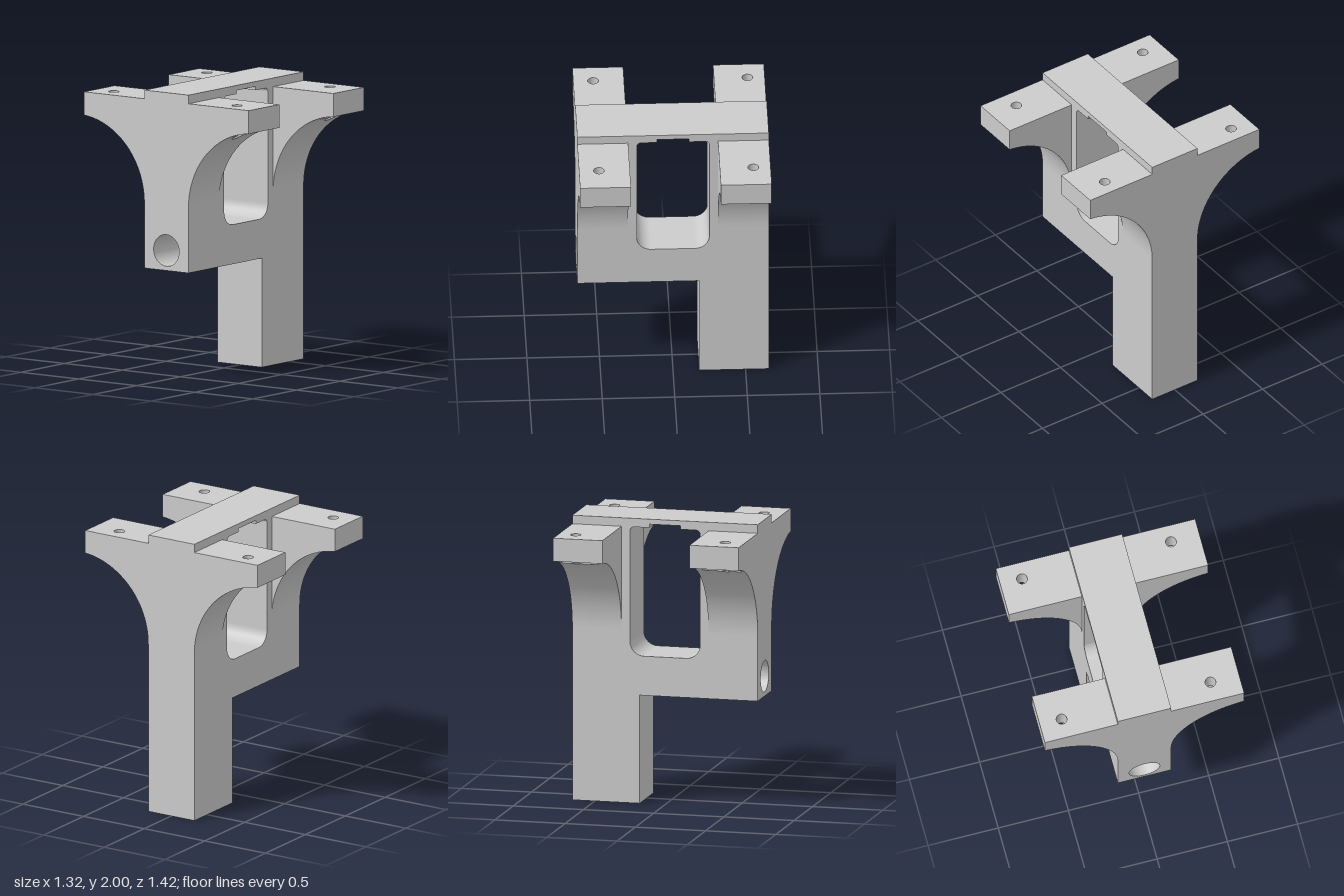
import * as THREE from 'three';

const grey = new THREE.MeshStandardMaterial({ color: 0xcccccc });
const greyShell = new THREE.MeshStandardMaterial({ color: 0xcccccc, side: THREE.DoubleSide });

const HALF = 0.66, DEPTH = 0.19;              // body half width, half thickness
const ARM_IN = 0.31, TIP = 0.71, ARM_TOP = 1.94;
const CZ = 0.76, CY = 1.21, CR = 0.57;        // arc under each arm
const SLOT_LOW = 1.735, SLOT_HIGH = 1.765, SLOT_R = 0.138, HOLE_R = 0.037;

const arcY = z => CY + Math.sqrt(Math.max(0, CR * CR - (CZ - z) ** 2));
const arcZ = y => CZ - Math.sqrt(CR * CR - (y - CY) ** 2);
const clamp = THREE.MathUtils.clamp;

function part(name, geometry, material = grey) {
  const mesh = new THREE.Mesh(geometry, material);
  mesh.name = name;
  return mesh;
}

function polygon(points) {
  return new THREE.Shape(points.map(p => new THREE.Vector2(p[0], p[1])));
}

function circlePath(x, y, r) {
  return new THREE.Path().absarc(x, y, r, 0, Math.PI * 2, true);
}

// Move every vertex of a geometry by a rule
function reshape(geometry, rule) {
  const pos = geometry.attributes.position, v = new THREE.Vector3();
  for (let i = 0; i < pos.count; i++) {
    rule(v.fromBufferAttribute(pos, i));
    pos.setXYZ(i, v.x, v.y, v.z);
  }
  geometry.computeVertexNormals();
  return geometry;
}

// Main plate with window and leg; the lower corner is left out for the bored block
function makeBody() {
  const shape = polygon([[0.18, 0], [HALF, 0], [HALF, 2], [-HALF, 2], [-HALF, 1.035],
    [-0.26, 1.035], [-0.26, 0.76], [0.18, 0.76]]);
  const w = 0.25, lo = 1.035, hi = 1.94, R = 0.1, r = 0.03, P = Math.PI;
  const win = new THREE.Path();
  win.moveTo(-w + R, lo);
  win.lineTo(w - R, lo);
  win.absarc(w - R, lo + R, R, -P / 2, 0, false);
  win.lineTo(w, hi - r);
  win.absarc(w - r, hi - r, r, 0, P / 2, false);
  for (const [x, y] of [[0.11, hi], [0.11, 1.965], [-0.11, 1.965], [-0.11, hi]]) win.lineTo(x, y);
  win.absarc(-w + r, hi - r, r, P / 2, P, false);
  win.lineTo(-w, lo + R);
  win.absarc(-w + R, lo + R, R, P, P * 1.5, false);
  shape.holes.push(win);
  const geo = new THREE.ExtrudeGeometry(shape, { depth: 2 * DEPTH, bevelEnabled: false, curveSegments: 16 });
  return part('bodyAndLeg', geo.translate(0, 0, -DEPTH));
}

// Lower corner block with a blind bore in its outer end
function makeBoredBlock() {
  const shape = polygon([[-DEPTH, 0.76], [DEPTH, 0.76], [DEPTH, 1.035], [-DEPTH, 1.035]]);
  shape.holes.push(circlePath(0, 0.9, 0.11));
  const geo = new THREE.ExtrudeGeometry(shape, { depth: 0.4, bevelEnabled: false, curveSegments: 32 });
  return part('boredBlock', geo.rotateY(Math.PI / 2).translate(-HALF, 0, 0));
}

// Arched underside with openings for the screw hole and the nut slot
function undersideGeometry(x0, x1, holeX, slotX, holeZ) {
  const z0 = arcZ(SLOT_LOW), z1 = arcZ(SLOT_HIGH), e = 1e-4;
  const rows = [z0 - e, z0 + e, z1 - e, z1 + e, holeZ - HOLE_R];
  const tEnd = Math.acos((CZ - TIP) / CR);
  for (let i = 0; i <= 80; i++) rows.push(CZ - CR * Math.cos(tEnd * i / 80));
  rows.sort((a, b) => a - b);
  const pos = [], index = [];
  rows.forEach((z, i) => {
    const inSlot = z > z0 && z < z1;
    const r = inSlot ? SLOT_R : z <= z0 ? HOLE_R : 0;
    const half = Math.sqrt(Math.max(0, r * r - (z - holeZ) ** 2));
    const c = inSlot ? slotX : holeX;
    for (const x of [x0, c - half, c + half, x1]) pos.push(x, arcY(z), z);
    if (i) for (const k of [0, 2]) {
      const a = 4 * (i - 1) + k, b = 4 * i + k;
      index.push(a, a + 1, b, a + 1, b + 1, b);
    }
  });
  const geo = new THREE.BufferGeometry();
  geo.setAttribute('position', new THREE.Float32BufferAttribute(pos, 3));
  geo.setIndex(index);
  geo.computeVertexNormals();
  return geo;
}

// Upright open tube whose lower rim follows a rule
function tube(x, z, r, top, rimRule) {
  const geo = new THREE.CylinderGeometry(r, r, 2, 40, 1, true).translate(x, 0, z);
  return reshape(geo, v => { v.y = v.y > 0 ? top : rimRule(v.z); });
}

// One bracket arm, built pointing to +z
function makeArm(name, x0, x1, holeX, slotX, holeZ) {
  const arm = new THREE.Group();
  arm.name = name;
  const add = (n, g) => arm.add(part(n, g, greyShell));

  const profile = [[DEPTH, ARM_TOP], [DEPTH, CY]];
  const tEnd = Math.acos((CZ - TIP) / CR);
  for (let i = 1; i <= 40; i++) {
    const t = tEnd * i / 40;
    profile.push([CZ - CR * Math.cos(t), CY + CR * Math.sin(t)]);
  }
  profile.push([TIP, ARM_TOP]);
  for (const x of [x0, x1]) {
    add('armSide', new THREE.ShapeGeometry(polygon(profile)).rotateY(-Math.PI / 2).translate(x, 0, 0));
  }

  const top = polygon([[x0, DEPTH], [x1, DEPTH], [x1, TIP], [x0, TIP]]);
  top.holes.push(circlePath(holeX, holeZ, HOLE_R));
  add('armTop', new THREE.ShapeGeometry(top, 40).rotateX(Math.PI / 2).translate(0, ARM_TOP, 0));

  const tipLow = arcY(TIP);
  add('armTip', new THREE.PlaneGeometry(x1 - x0, ARM_TOP - tipLow)
    .translate((x0 + x1) / 2, (ARM_TOP + tipLow) / 2, TIP));
  add('armUnderside', undersideGeometry(x0, x1, holeX, slotX, holeZ));

  // Nut slot: ceiling, floor and wall trimmed to the arch
  for (const y of [SLOT_LOW, SLOT_HIGH]) {
    const disc = new THREE.Shape().absarc(slotX, holeZ, SLOT_R, 0, Math.PI * 2, false);
    disc.holes.push(circlePath(holeX, holeZ, HOLE_R));
    const geo = new THREE.ShapeGeometry(disc, 40).rotateX(Math.PI / 2).translate(0, y, 0);
    add('nutSlotFace', reshape(geo, v => { v.z = Math.min(v.z, arcZ(y)); }));
  }
  add('nutSlotWall', tube(slotX, holeZ, SLOT_R, SLOT_HIGH, z => clamp(arcY(z), SLOT_LOW, SLOT_HIGH)));

  // Screw hole above and below the slot
  add('screwHoleUpper', tube(holeX, holeZ, HOLE_R, ARM_TOP, () => SLOT_HIGH));
  add('screwHoleLower', tube(holeX, holeZ, HOLE_R, SLOT_LOW, z => Math.min(arcY(z), SLOT_LOW)));
  return arm;
}

export function createModel() {
  const model = new THREE.Group();
  model.name = 'bracket';
  model.add(makeBody(), makeBoredBlock());
  for (const [end, dir, holeZ] of [['front', 1, 0.506], ['back', -1, 0.555]]) {
    const right = makeArm(end + 'RightArm', -HALF, -ARM_IN, -0.523, -0.5, holeZ);
    const left = makeArm(end + 'LeftArm', ARM_IN, HALF, 0.541, 0.52, holeZ);
    for (const arm of [right, left]) {
      arm.scale.z = dir;
      model.add(arm);
    }
  }
  return model;
}
